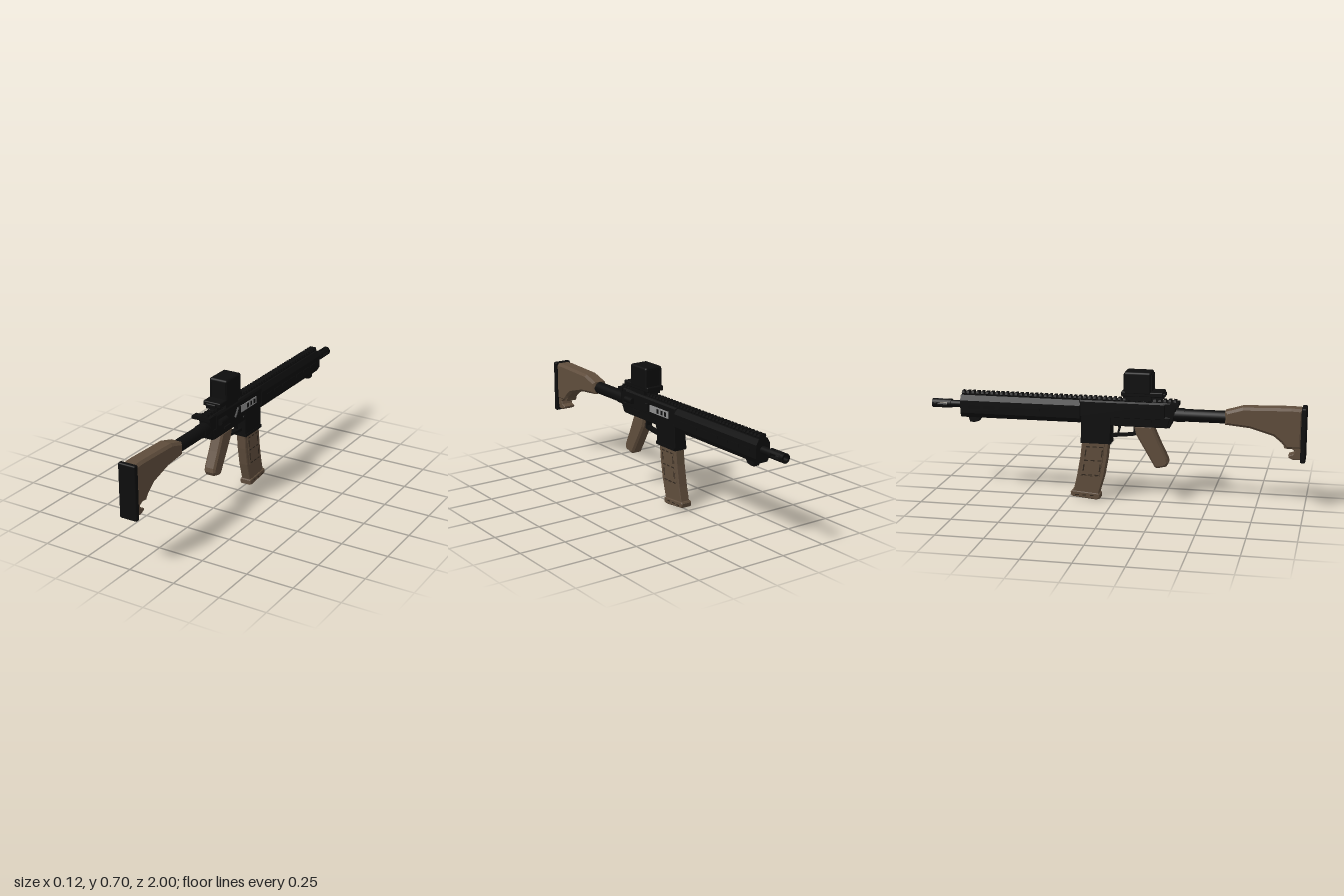
import * as THREE from 'three';
import { RoundedBoxGeometry } from 'three/addons/geometries/RoundedBoxGeometry.js';

const black = new THREE.MeshStandardMaterial({ color: 0x0d0d0d, name: 'black metal' });
const brown = new THREE.MeshStandardMaterial({ color: 0x5f4d3c, name: 'brown polymer' });
const groove = new THREE.MeshStandardMaterial({ color: 0x30271e, name: 'groove brown' });
const steel = new THREE.MeshStandardMaterial({ color: 0x8e8e8e, name: 'bare steel' });

export function createModel() {
  const model = new THREE.Group();
  model.name = 'rifle';

  const add = (name, geo, mat, x = 0, y = 0, z = 0) => {
    const m = new THREE.Mesh(geo, mat);
    m.name = name;
    m.position.set(x, y, z);
    model.add(m);
    return m;
  };
  // Box given by its ranges
  const box = (name, mat, x0, x1, y0, y1, z0, z1) =>
    add(name, new THREE.BoxGeometry(x1 - x0, y1 - y0, z1 - z0), mat, (x0 + x1) / 2, (y0 + y1) / 2, (z0 + z1) / 2);
  const rounded = (name, mat, x0, x1, y0, y1, z0, z1, r) =>
    add(name, new RoundedBoxGeometry(x1 - x0, y1 - y0, z1 - z0, 3, r), mat, (x0 + x1) / 2, (y0 + y1) / 2, (z0 + z1) / 2);
  // Cylinder along z
  const rod = (name, mat, r, z0, z1, y, sides = 24, x = 0) =>
    add(name, new THREE.CylinderGeometry(r, r, z1 - z0, sides).rotateX(Math.PI / 2), mat, x, y, (z0 + z1) / 2);
  // Side profile of [z, y] points, extruded across the width with chamfered edges
  const side = (name, mat, pts, half, bevel = 0, x = 0) => {
    const shape = new THREE.Shape(pts.map((p) => new THREE.Vector2(...p)));
    const geo = new THREE.ExtrudeGeometry(shape, {
      depth: 2 * (half - bevel), bevelEnabled: bevel > 0, bevelSize: bevel,
      bevelThickness: bevel, bevelOffset: -bevel, bevelSegments: 1,
    });
    geo.translate(0, 0, bevel - half).rotateY(-Math.PI / 2);
    return add(name, geo, mat, x);
  };
  // Cross-section of [x, y] points, extruded along z
  const along = (name, mat, pts, z0, z1) => {
    const shape = new THREE.Shape(pts.map((p) => new THREE.Vector2(...p)));
    return add(name, new THREE.ExtrudeGeometry(shape, { depth: z1 - z0, bevelEnabled: false }), mat, 0, 0, z0);
  };

  // Stock, hook and butt pad
  rounded('buttPad', black, -0.048, 0.05, 0.265, 0.552, 0.973, 1.0, 0.008);
  side('stock', brown, [[0.98, 0.545], [0.92, 0.548], [0.674, 0.541], [0.583, 0.514], [0.583, 0.446],
    [0.711, 0.434], [0.834, 0.398], [0.875, 0.365], [0.9, 0.335], [0.98, 0.335]], 0.042, 0.013);
  side('stockHook', brown, [[0.98, 0.36], [0.885, 0.355], [0.892, 0.335], [0.925, 0.338], [0.945, 0.325],
    [0.938, 0.308], [0.912, 0.298], [0.915, 0.288], [0.94, 0.277], [0.98, 0.282]], 0.034, 0.003);

  // Stock tube with its collar
  rod('stockTube', black, 0.033, 0.3, 0.6, 0.479);
  rod('tubeCollar', black, 0.036, 0.32, 0.37, 0.479);

  // Receiver
  side('upperReceiver', black, [[0.275, 0.543], [-0.185, 0.543], [-0.185, 0.45], [0.275, 0.45]], 0.038, 0.008);
  side('receiverRear', black, [[0.335, 0.545], [0.2, 0.545], [0.2, 0.412], [0.295, 0.412], [0.315, 0.45]], 0.033, 0.005);
  side('lowerReceiver', black, [[0.3, 0.47], [-0.175, 0.47], [-0.175, 0.412], [0.285, 0.412]], 0.036, 0.004);
  side('magazineWell', black, [[-0.01, 0.465], [-0.175, 0.465], [-0.178, 0.31], [-0.018, 0.315]], 0.038, 0.005);
  box('magazineWellLip', black, -0.04, 0.04, 0.312, 0.328, -0.178, -0.016);
  for (const s of [-1, 1]) {
    rod('receiverPin', black, 0.008, -0.003, 0.003, 0.435, 12, s * 0.037).rotation.y = Math.PI / 2;
    box('controlLever', black, s * 0.039 - 0.004, s * 0.039 + 0.004, 0.44, 0.452, 0.14, 0.2);
  }

  // Ejection port with bolt slots on the model's left
  box('ejectionPort', steel, 0.036, 0.041, 0.473, 0.511, -0.123, 0.04);
  for (const z of [-0.033, -0.066, -0.1]) box('boltSlot', black, 0.038, 0.0425, 0.48, 0.503, z - 0.008, z + 0.008);
  box('portCover', black, 0.036, 0.043, 0.462, 0.473, -0.125, 0.04);
  side('shellDeflector', black, [[0.1, 0.47], [0.05, 0.47], [0.05, 0.515], [0.07, 0.515]], 0.008, 0.002, 0.042);
  rod('forwardAssist', black, 0.016, 0.19, 0.255, 0.497, 18, 0.045);

  // Charging handle
  box('chargingHandle', black, -0.045, 0.04, 0.527, 0.547, 0.3, 0.34);
  box('chargingLatch', black, -0.064, -0.035, 0.529, 0.546, 0.303, 0.345);

  // Trigger and guard
  side('triggerGuard', black, [[0.118, 0.42], [0.114, 0.362], [0.095, 0.357], [-0.022, 0.345],
    [-0.022, 0.36], [0.09, 0.37], [0.102, 0.378], [0.104, 0.42]], 0.016);
  side('trigger', black, [[0.035, 0.42], [0.015, 0.42], [0.02, 0.395], [0.014, 0.368], [0.022, 0.368], [0.031, 0.395]], 0.008);

  // Pistol grip
  side('grip', brown, [[0.205, 0.418], [0.105, 0.418], [0.118, 0.367], [0.218, 0.196], [0.232, 0.191],
    [0.28, 0.203], [0.29, 0.222], [0.285, 0.245], [0.246, 0.325]], 0.033, 0.01);

  // Curved magazine with base plate
  side('magazine', brown, [[-0.027, 0.33], [-0.037, 0.23], [-0.055, 0.13], [-0.087, 0.02],
    [-0.227, 0.02], [-0.203, 0.12], [-0.183, 0.23], [-0.171, 0.33]], 0.027, 0.004);
  side('magazineBase', brown, [[-0.078, 0.004], [-0.077, 0.028], [-0.085, 0.034], [-0.23, 0.044],
    [-0.236, 0.036], [-0.232, 0.014], [-0.1, 0]], 0.032, 0.004);
  side('magazinePanel', brown, [[-0.05, 0.312], [-0.06, 0.22], [-0.078, 0.125], [-0.182, 0.13], [-0.164, 0.22], [-0.154, 0.312]], 0.03, 0.002);
  // Broken grooves framing the panels
  for (const s of [-1, 1]) {
    for (const [y, z] of [[0.29, -0.104], [0.215, -0.114], [0.135, -0.129]]) {
      for (const d of [-0.036, 0, 0.036]) {
        box('magazineGroove', groove, s * 0.03 - 0.001, s * 0.03 + 0.001, y - 0.003, y + 0.003, z + d - 0.011, z + d + 0.011);
      }
    }
    for (const [y, z] of [[0.255, -0.064], [0.255, -0.153], [0.175, -0.076], [0.175, -0.164]]) {
      box('magazineGroove', groove, s * 0.03 - 0.001, s * 0.03 + 0.001, y - 0.02, y + 0.02, z - 0.003, z + 0.003).rotation.x = 0.14;
    }
    for (const z of [-0.12, -0.16, -0.2]) {
      box('baseGroove', groove, s * 0.032 - 0.001, s * 0.032 + 0.001, 0.02, 0.025, z - 0.01, z + 0.01);
    }
  }

  // Handguard: chamfered tube with side ribs and hand stop
  const guard = [[-0.028, 0.42], [0.028, 0.42], [0.042, 0.445], [0.042, 0.512], [0.026, 0.54],
    [-0.026, 0.54], [-0.042, 0.512], [-0.042, 0.445]];
  along('handguard', black, guard, -0.835, -0.18);
  for (const s of [-1, 1]) {
    for (let i = 0; i < 7; i++) {
      const z = -0.26 - i * 0.083;
      box('handguardRib', black, s * 0.042 - 0.002, s * 0.042 + 0.002, 0.471, 0.487, z - 0.03, z + 0.03);
    }
  }
  side('handStop', black, [[-0.725, 0.425], [-0.74, 0.398], [-0.765, 0.39], [-0.79, 0.392], [-0.8, 0.425]], 0.02, 0.004);

  // Top rail with teeth
  box('topRail', black, -0.018, 0.018, 0.535, 0.551, -0.832, 0.335);
  const tooth = [[-0.016, 0.539], [0.016, 0.539], [0.022, 0.548], [0.018, 0.56], [-0.018, 0.56], [-0.022, 0.548]];
  for (let i = 0; i < 44; i++) {
    const z = 0.32 - i * 0.0266;
    along('railTooth', black, tooth, z - 0.007, z + 0.007);
  }

  // Optic: mount, clamps, hood and window frames at both ends
  box('opticFoot', black, -0.032, 0.032, 0.562, 0.582, 0.05, 0.26);
  for (const s of [-1, 1]) box('mountClamp', black, s * 0.035 - 0.014, s * 0.035 + 0.014, 0.555, 0.59, 0.08, 0.2);
  rounded('opticBase', black, -0.05, 0.053, 0.575, 0.602, 0.042, 0.262, 0.006);
  rounded('opticTail', black, -0.028, 0.03, 0.575, 0.594, 0.22, 0.272, 0.006);
  rounded('opticHood', black, -0.051, 0.054, 0.585, 0.705, 0.056, 0.2, 0.012);
  for (const z of [0.057, 0.199]) {
    for (const x of [-0.039, 0.042]) box('windowFrame', black, x - 0.005, x + 0.005, 0.595, 0.692, z - 0.004, z + 0.004);
    for (const y of [0.597, 0.688]) box('windowFrame', black, -0.039, 0.042, y - 0.004, y + 0.004, z - 0.004, z + 0.004);
  }

  // Barrel and slotted muzzle
  rod('barrel', black, 0.019, -0.912, -0.8, 0.484);
  rod('muzzleCollar', black, 0.0245, -0.914, -0.895, 0.484);
  const ring = new THREE.Shape().absarc(0, 0, 0.0245, 0, Math.PI * 2);
  ring.holes.push(new THREE.Path().absarc(0, 0, 0.014, 0, Math.PI * 2, true));
  add('muzzleRing', new THREE.ExtrudeGeometry(ring, { depth: 0.027, bevelEnabled: false }), black, 0, 0.484, -1);
  for (let i = 0; i < 4; i++) {
    const a = i * Math.PI / 2 + 0.36, b = (i + 1) * Math.PI / 2 - 0.36;
    const prong = new THREE.Shape();
    prong.absarc(0, 0, 0.0245, a, b, false);
    prong.absarc(0, 0, 0.014, b, a, true);
    add('muzzleProng', new THREE.ExtrudeGeometry(prong, { depth: 0.064, bevelEnabled: false, curveSegments: 6 }), black, 0, 0.484, -0.975);
  }
  return model;
}
